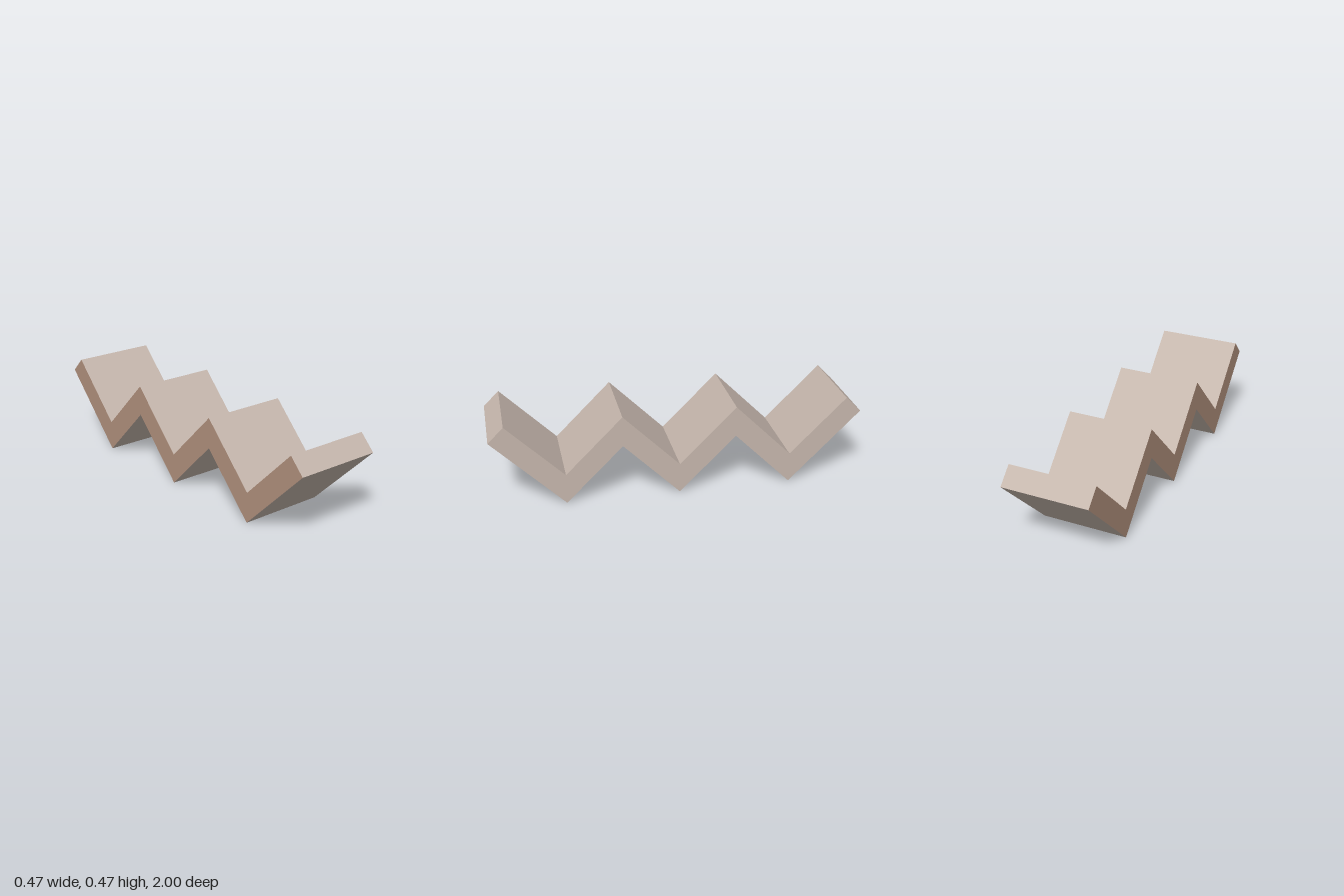
import * as THREE from 'three';

export function createModel() {
  const group = new THREE.Group();
  group.name = 'zigzagStrip';

  const paleStone = new THREE.MeshStandardMaterial({ color: 0xc6b7ad });
  paleStone.name = 'pale stone';
  const warmBrown = new THREE.MeshStandardMaterial({ color: 0xb2927e });
  warmBrown.name = 'warm brown';

  const width = 0.472;   // along x
  const step = 0.3056;   // run and rise of one 45 degree fold
  const rise = 0.1667;   // vertical thickness of the sheet
  const cap = rise / 2;  // half thickness, for the square-cut ends

  // Folded profile, drawn as (z, y): underside front to back order, then the top side
  const under = [], over = [];
  for (let i = -3; i <= 3; i++) {
    const z = i * step;
    const y = i % 2 === 0 ? 0 : step;
    // valleys at the centre and at two steps, peaks at one and three
    if (Math.abs(i) < 3) under.push(new THREE.Vector2(z, y));
    over.push(new THREE.Vector2(z, y + rise));
  }
  const end = 3 * step + cap;
  const points = [
    new THREE.Vector2(-end, step + cap), ...under,
    new THREE.Vector2(end, step + cap), ...over.reverse(),
  ];

  const geometry = new THREE.ExtrudeGeometry(new THREE.Shape(points), { depth: width, bevelEnabled: false });
  geometry.translate(0, 0, -width / 2);
  geometry.rotateY(-Math.PI / 2);

  // The two profile faces come first, +x then -x; only the -x face is brown
  const [profiles, walls] = geometry.groups;
  const half = profiles.count / 2;
  geometry.clearGroups();
  geometry.addGroup(0, half, 0);
  geometry.addGroup(half, half, 1);
  geometry.addGroup(walls.start, walls.count, 0);

  const strip = new THREE.Mesh(geometry, [paleStone, warmBrown]);
  strip.name = 'foldedStrip';
  group.add(strip);
  return group;
}
